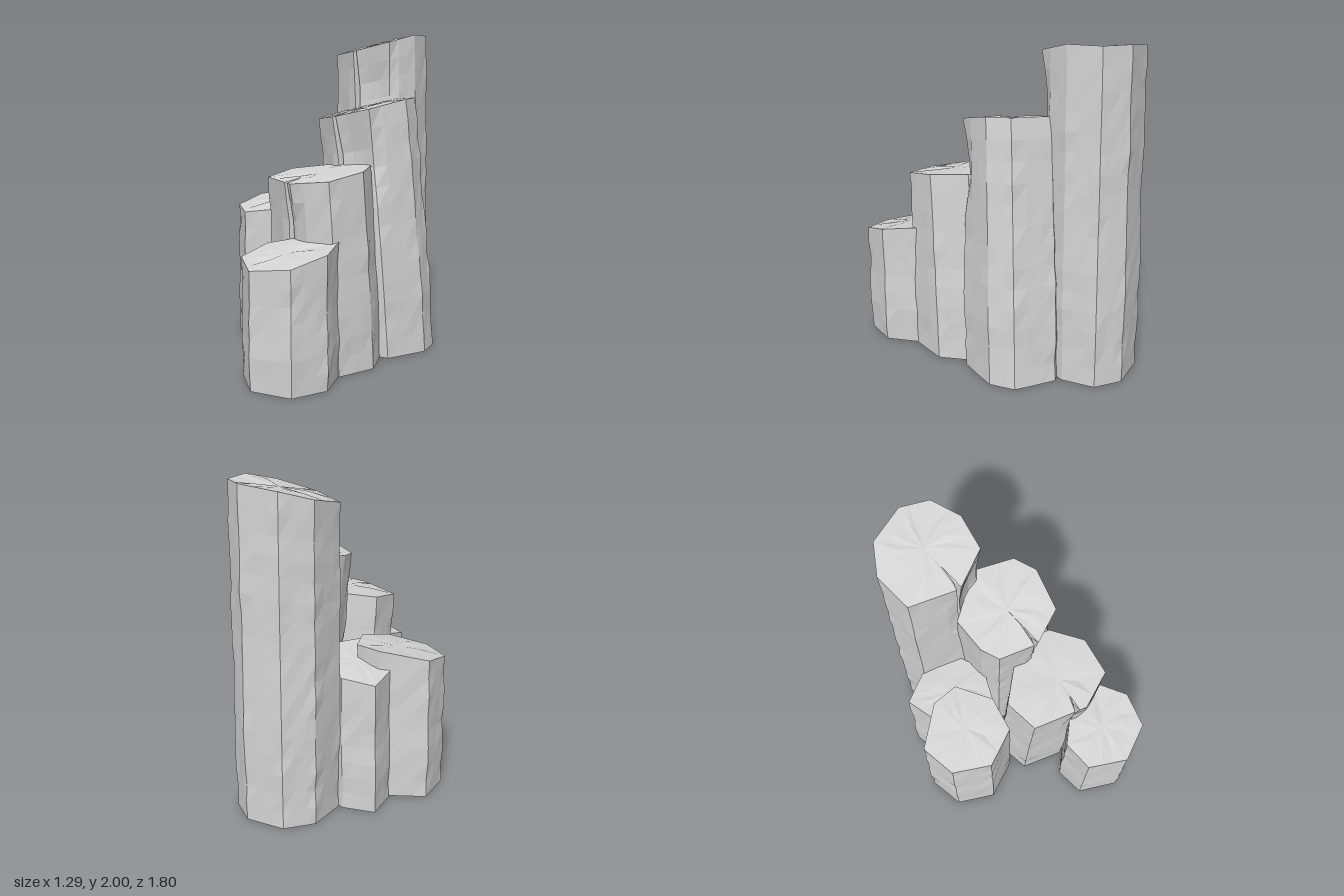
import * as THREE from 'three';

// Small seeded random in -1..1
function makeRandom(seed) {
  let s = seed;
  return () => {
    s = (s * 16807) % 2147483647;
    return (s / 2147483647) * 2 - 1;
  };
}

const bump = (v, from, to) => (v <= from || v >= to ? 0 : Math.sin(((v - from) / (to - from)) * Math.PI));

// Rim corners [x, z] lifted onto a sloping top: height at the middle, slope in x and z, highest level
function liftRim(corners, { height, slopeX, slopeZ, max }) {
  const cx = corners.reduce((sum, c) => sum + c[0], 0) / corners.length;
  const cz = corners.reduce((sum, c) => sum + c[1], 0) / corners.length;
  return corners.map(([x, z]) =>
    new THREE.Vector3(x, Math.min(max, height + slopeX * (x - cx) + slopeZ * (z - cz)), z));
}

// Rim corners with points added along the edges; a crack gets close neighbours and a worn face beside it
function outline(rim, crack) {
  const points = [];
  rim.forEach((a, i) => {
    const next = (i + 1) % rim.length;
    const length = a.distanceTo(rim[next]);
    const isCrack = i === crack;
    const afterCrack = crack >= 0 && i === crack + 1;
    const add = (f, hollow) => points.push({ p: a.clone().lerp(rim[next], f), pull: 0, hollow, corner: false });
    points.push({ p: a, pull: isCrack ? 1 : 0, hollow: afterCrack ? 0.7 : 0, corner: true });
    if (isCrack) add(0.012 / length, 0.7);
    if (length > 0.1) [0.35, 0.7].forEach((f) => add(f, isCrack ? 1 : 0));
    if (next === crack) add(1 - 0.02 / length, 0.3);
  });
  return points;
}

function columnGeometry(rim, crack, { drift, flare }, seed) {
  const random = makeRandom(seed);
  const points = outline(rim, crack);
  const n = points.length;
  const centre = new THREE.Vector3();
  rim.forEach((c) => centre.add(c));
  centre.divideScalar(rim.length);
  const levels = Math.ceil(centre.y / 0.12);
  const positions = [];
  const index = [];

  // Stacked rings from the ground to the sloping rim
  for (let l = 0; l <= levels; l++) {
    const t = l / levels;
    const lean = (1 - t) ** 0.85;
    const swell = 0.007 * bump(t, 0.1, 0.5) + flare * lean;
    for (const { p, pull, hollow, corner } of points) {
      const depth = (1 - t) * p.y;
      const x = p.x - centre.x;
      const z = p.z - centre.z;
      const r = Math.hypot(x, z);
      const crackCut = pull * (0.015 + 0.045 * Math.max(0, 1 - depth / 0.6) + 0.06 * bump(depth, 0, 0.55));
      const cut = crackCut + hollow * 0.05 * bump(depth, 0.03, 0.6);
      const rough = l === 0 || l === levels ? 0 : random() * (corner ? 0.006 : 0.0025);
      const k = (r - cut + swell + rough) / r;
      positions.push(centre.x + x * k + drift[0] * lean, p.y * t, centre.z + z * k + drift[1] * lean);
    }
  }
  for (let l = 0; l < levels; l++) {
    for (let i = 0; i < n; i++) {
      const a = l * n + i;
      const b = l * n + ((i + 1) % n);
      index.push(a, b, b + n, a, b + n, a + n);
    }
  }

  // Uneven top: an inner ring and a centre point; the foot is a plain fan
  const top = levels * n;
  const inner = top + n;
  for (const { p } of points) {
    const q = p.clone().lerp(centre, 0.5 + random() * 0.06);
    positions.push(q.x, q.y + 0.004 + random() * 0.006, q.z);
  }
  const hub = inner + n;
  const foot = hub + 1;
  positions.push(centre.x, centre.y + 0.004, centre.z);
  positions.push(centre.x + drift[0], 0, centre.z + drift[1]);
  for (let i = 0; i < n; i++) {
    const j = (i + 1) % n;
    index.push(top + i, top + j, inner + j, top + i, inner + j, inner + i);
    index.push(hub, inner + i, inner + j);
    index.push(foot, j, i);
  }

  // Separate faces so every facet stays flat
  const indexed = new THREE.BufferGeometry();
  indexed.setAttribute('position', new THREE.Float32BufferAttribute(positions, 3));
  indexed.setIndex(index);
  const geometry = indexed.toNonIndexed();
  geometry.computeVertexNormals();
  return geometry;
}

export function createModel() {
  const group = new THREE.Group();
  group.name = 'rockColumns';
  const stone = new THREE.MeshStandardMaterial({ color: 0xd4d4d4, flatShading: true });
  stone.name = 'light grey stone';

  // base: drift moves the foot sideways, flare widens it; crack is the split corner (-1 for none)
  function addColumn(name, corners, slope, base, crack = -1) {
    const seed = 101 + group.children.length * 977;
    const mesh = new THREE.Mesh(columnGeometry(liftRim(corners, slope), crack, base, seed), stone);
    mesh.name = name;
    group.add(mesh);
  }

  addColumn('tallBackColumn',
    [[-0.21, -0.5], [0.04, -0.33], [0.28, -0.37], [0.36, -0.56], [0.34, -0.76], [0.2, -0.87], [-0.04, -0.86], [-0.18, -0.73]],
    { height: 1.96, slopeX: 0.2, slopeZ: -0.18, max: 2 }, { drift: [0.015, -0.025], flare: 0.005 }, 1);
  addColumn('secondColumn',
    [[-0.05, -0.14], [-0.03, -0.02], [0.17, 0.11], [0.4, 0.08], [0.52, -0.15], [0.5, -0.3], [0.3, -0.45], [0, -0.35]],
    { height: 1.535, slopeX: 0.2, slopeZ: -0.13, max: 1.6 }, { drift: [0.1, -0.085], flare: 0.02 }, 2);
  addColumn('middleColumn',
    [[-0.16, 0.34], [0.09, 0.49], [0.14, 0.52], [0.39, 0.49], [0.48, 0.27], [0.4, 0.05], [0.2, -0.05], [-0.14, 0.12]],
    { height: 1.16, slopeX: 0.09, slopeZ: -0.15, max: 1.2 }, { drift: [0.03, -0.06], flare: 0.015 }, 1);
  addColumn('frontColumn',
    [[-0.06, 0.72], [0.14, 0.895], [0.39, 0.85], [0.49, 0.65], [0.42, 0.43], [0.15, 0.42], [-0.03, 0.52]],
    { height: 0.75, slopeX: 0.09, slopeZ: -0.23, max: 0.8 }, { drift: [0, 0], flare: 0 });
  addColumn('leftColumn',
    [[-0.64, 0.05], [-0.45, 0.22], [-0.2, 0.18], [-0.11, -0.02], [-0.19, -0.26], [-0.36, -0.3], [-0.63, -0.18]],
    { height: 0.92, slopeX: 0.12, slopeZ: -0.2, max: 0.97 }, { drift: [-0.005, 0], flare: 0.004 });
  addColumn('backLeftColumn',
    [[-0.42, -0.28], [-0.3, -0.1], [-0.1, -0.03], [0.03, -0.2], [0, -0.43], [-0.22, -0.52], [-0.42, -0.48]],
    { height: 0.88, slopeX: 0.15, slopeZ: 0.1, max: 0.92 }, { drift: [-0.01, -0.01], flare: 0 });
  return group;
}
